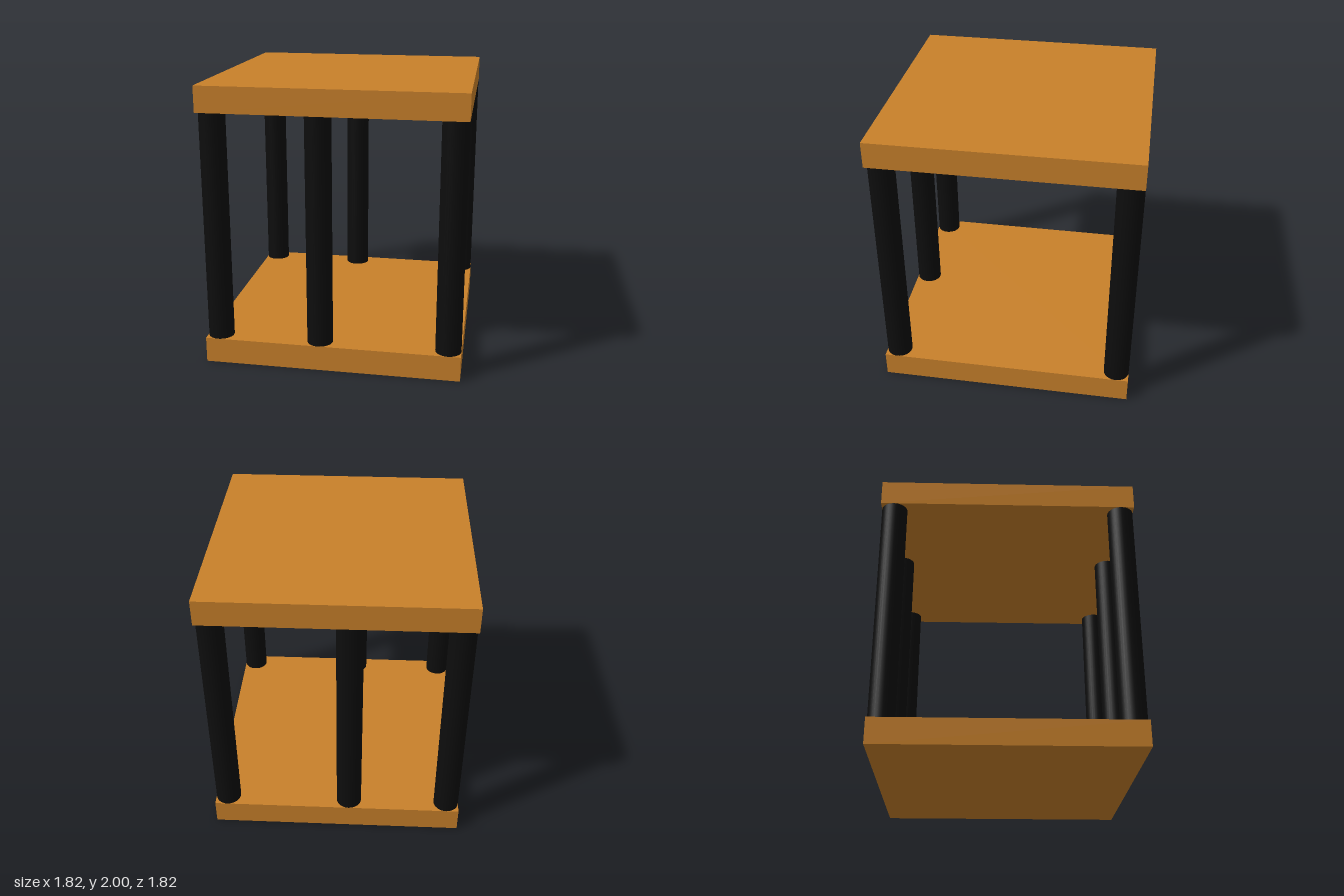
import * as THREE from 'three';

export function createModel() {
  const model = new THREE.Group();
  const wood = new THREE.MeshStandardMaterial({ color: 0xc8802a });
  const black = new THREE.MeshStandardMaterial({ color: 0x0d0d0d });

  const size = 1.818, thickness = 0.182, radius = 0.091;
  const edge = size / 2 - radius;

  // Two square slabs, bottom and top
  const slab = new THREE.BoxGeometry(size, thickness, size);
  for (const [name, y] of [['bottomSlab', thickness / 2], ['topSlab', 2 - thickness / 2]]) {
    const mesh = new THREE.Mesh(slab, wood);
    mesh.name = name;
    mesh.position.y = y;
    model.add(mesh);
  }

  // Three columns along the front and back; the middle one sits off centre
  const column = new THREE.CylinderGeometry(radius, radius, 2 - 2 * thickness, 32);
  for (const [row, z] of [['front', edge], ['back', -edge]]) {
    for (const [place, x] of [['Right', -edge], ['Middle', -radius], ['Left', edge]]) {
      const mesh = new THREE.Mesh(column, black);
      mesh.name = `${row}${place}Column`;
      mesh.position.set(x, 1, z);
      model.add(mesh);
    }
  }
  return model;
}
